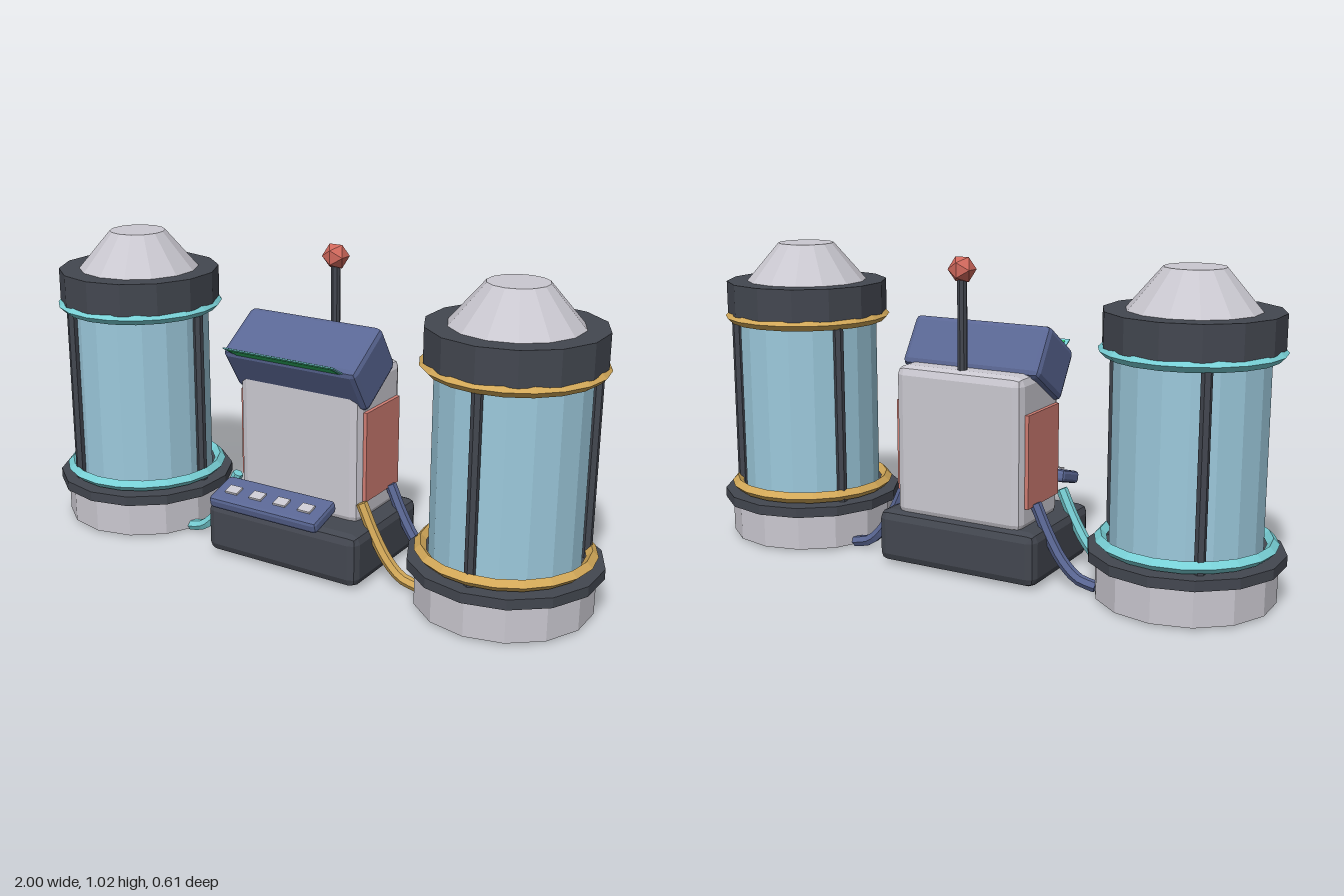
import * as THREE from 'three';
import { RoundedBoxGeometry } from 'three/addons/geometries/RoundedBoxGeometry.js';

const mat = (name, color) => {
  const m = new THREE.MeshStandardMaterial({ color, flatShading: true });
  m.name = name;
  return m;
};

export function createModel() {
  const dark = mat('charcoal', 0x434750);
  const grey = mat('light grey', 0xcac8d0);
  const glass = mat('pale blue glass', 0x9cc9dc);
  const blue = mat('slate blue', 0x5a6794);
  const gold = mat('gold', 0xd2a858);
  const teal = mat('teal', 0x78d0d6);
  const coral = mat('coral', 0xd0685c);
  const salmon = mat('salmon', 0xcf7c72);
  const green = mat('screen green', 0x2fb565);

  const model = new THREE.Group();
  model.name = 'tankStation';

  const add = (parent, name, geometry, material, x = 0, y = 0, z = 0) => {
    const mesh = new THREE.Mesh(geometry, material);
    mesh.name = name;
    mesh.position.set(x, y, z);
    parent.add(mesh);
    return mesh;
  };

  // Upright cylinder or cone between two heights
  const drum = (parent, name, material, y0, y1, r0, r1 = r0, sides = 14, x = 0, z = 0) =>
    add(parent, name, new THREE.CylinderGeometry(r1, r0, y1 - y0, sides), material, x, (y0 + y1) / 2, z);

  const chamferBox = (w, h, d, r) => new RoundedBoxGeometry(w, h, d, 1, r);

  // Storage tank with coloured rings and three support rods
  function tank(name, x, ringMaterial, rodStart) {
    const g = new THREE.Group();
    g.name = name;
    g.position.x = x;
    drum(g, 'tankFoot', grey, 0.01, 0.13, 0.28);
    drum(g, 'tankFlange', dark, 0.13, 0.163, 0.305);
    drum(g, 'tankGlass', glass, 0.163, 0.785, 0.235, 0.235, 18);
    drum(g, 'tankCap', dark, 0.785, 0.893, 0.272);
    drum(g, 'tankDome', grey, 0.893, 1.02, 0.203, 0.094);
    for (const y of [0.187, 0.774]) {
      const ring = add(g, 'tankRing', new THREE.TorusGeometry(0.262, 0.019, 4, 20), ringMaterial, 0, y, 0);
      ring.rotation.x = Math.PI / 2;
    }
    for (let i = 0; i < 3; i++) {
      const a = rodStart + (i * Math.PI * 2) / 3;
      drum(g, 'tankRod', dark, 0.16, 0.82, 0.017, 0.017, 6, Math.sin(a) * 0.247, Math.cos(a) * 0.247);
    }
    model.add(g);
  }
  tank('leftTank', 0.7026, gold, 0);
  tank('rightTank', -0.7026, teal, Math.PI / 2);

  // Central machine: plinth, body and side panels
  add(model, 'plinth', chamferBox(0.575, 0.177, 0.41, 0.03), dark, 0, 0.0985, -0.005);
  add(model, 'body', chamferBox(0.455, 0.5, 0.275, 0.03), grey, 0, 0.42, -0.05);
  for (const s of [-1, 1]) {
    add(model, 'sidePanel', new THREE.BoxGeometry(0.02, 0.3, 0.21), salmon, s * 0.23, 0.4, -0.05);
  }

  // Tilted head
  const head = add(model, 'head', chamferBox(0.495, 0.178, 0.21, 0.02), blue, 0, 0.683, 0.018);
  head.rotation.x = 0.576;

  // Display plate jutting from the head's front edge
  const display = new THREE.Group();
  display.name = 'display';
  display.position.set(0, 0.697, 0.145);
  display.rotation.x = -0.52;
  add(display, 'displayFrame', new THREE.BoxGeometry(0.41, 0.004, 0.13), teal);
  add(display, 'displayScreen', new THREE.BoxGeometry(0.385, 0.008, 0.112), green);
  model.add(display);

  // Control console with a row of buttons
  const consoleGroup = new THREE.Group();
  consoleGroup.name = 'console';
  consoleGroup.position.set(0, 0.254, 0.235);
  consoleGroup.rotation.x = 0.28;
  add(consoleGroup, 'consoleSlab', chamferBox(0.405, 0.042, 0.13, 0.012), blue);
  for (let i = 0; i < 4; i++) {
    add(consoleGroup, 'button', new THREE.BoxGeometry(0.045, 0.016, 0.036), grey, -0.138 + i * 0.092, 0.02, 0.006);
  }
  model.add(consoleGroup);

  // Antenna
  drum(model, 'antennaRod', dark, 0.65, 0.96, 0.016, 0.016, 8, 0, -0.145);
  add(model, 'antennaBall', new THREE.IcosahedronGeometry(0.045, 0), coral, 0, 0.985, -0.145);

  // Hoses joining the machine to the tanks
  const hose = (side, z, material) => {
    const path = new THREE.CatmullRomCurve3([
      [0.242, 0.255], [0.285, 0.165], [0.335, 0.085], [0.39, 0.035], [0.45, 0.02],
    ].map(([x, y]) => new THREE.Vector3(side * x, y, z)));
    const g = new THREE.Group();
    g.name = 'hose';
    add(g, 'hoseTube', new THREE.TubeGeometry(path, 12, 0.019, 6), material);
    // End plugs
    for (const t of [0, 1]) {
      const p = path.getPoint(t);
      const plug = add(g, 'hoseEnd', new THREE.CylinderGeometry(0.018, 0.018, 0.006, 6), material, p.x, p.y, p.z);
      plug.quaternion.setFromUnitVectors(new THREE.Vector3(0, 1, 0), path.getTangent(t));
    }
    model.add(g);
  };
  hose(1, 0.082, gold);
  hose(-1, 0.082, teal);
  hose(1, -0.105, blue);
  hose(-1, -0.105, blue);

  return model;
}
